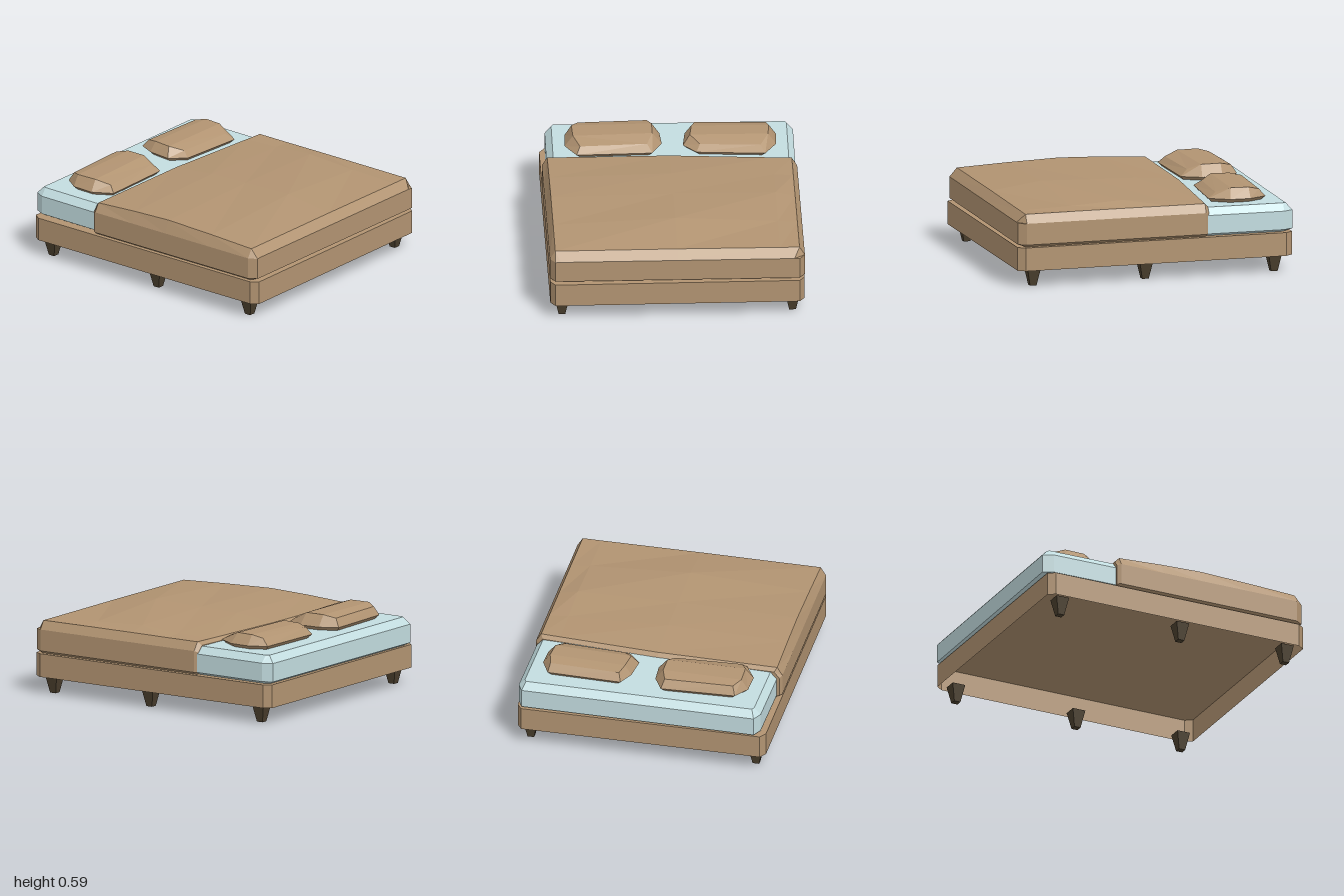
import * as THREE from 'three';

// Double-sided because the base is a shell open at the bottom
const brown = new THREE.MeshStandardMaterial({ color: 0xb29472, side: THREE.DoubleSide });
brown.name = 'brown fabric';
const blue = new THREE.MeshStandardMaterial({ color: 0xc3dde0 });
blue.name = 'pale blue sheet';
const dark = new THREE.MeshStandardMaterial({ color: 0x4c402e });
dark.name = 'dark wood';

// Faceted solid through rings of equal length (anticlockwise seen from the last ring)
function loft(rings, openStart = false) {
  const pos = [];
  const quad = (a, b, c, d) => pos.push(...a, ...b, ...c, ...a, ...c, ...d);
  const n = rings[0].length;
  for (let k = 0; k + 1 < rings.length; k++) {
    for (let i = 0; i < n; i++) {
      const j = (i + 1) % n;
      quad(rings[k][i], rings[k][j], rings[k + 1][j], rings[k + 1][i]);
    }
  }
  const cap = (r) => {
    for (let i = 0; i < n / 2 - 1; i++) quad(r[i], r[i + 1], r[n - 2 - i], r[n - 1 - i]);
  };
  cap(rings[rings.length - 1]);
  if (!openStart) cap([...rings[0]].reverse());
  const g = new THREE.BufferGeometry();
  g.setAttribute('position', new THREE.Float32BufferAttribute(pos, 3));
  g.computeVertexNormals();
  return g;
}

// Corners [frontRight, backRight, backLeft, frontLeft], moved inwards and cut off
function cutRing(corners, y, inset, cx, cz) {
  const ring = [];
  corners.forEach(([x, z], i) => {
    const px = x - Math.sign(x) * inset, pz = z - Math.sign(z) * inset;
    const onX = [px - Math.sign(x) * cx, y, pz];
    const onZ = [px, y, pz - Math.sign(z) * cz];
    ring.push(...(i % 2 === 0 ? [onX, onZ] : [onZ, onX]));
  });
  return ring;
}

function part(parent, name, geometry, material) {
  const m = new THREE.Mesh(geometry, material);
  m.name = name;
  parent.add(m);
  return m;
}

// Cross-section of the blanket; zAt gives the depth for each x, as its ends run askew
function blanketRow(zAt, w, low, side, hR, hIn, hM, hL) {
  const b = 0.31 - low;
  const section = [
    [w - b, low], [w, 0.3], [w, side], [w - 0.037, hR], [0.71, hIn],
    [0, hM], [-w + 0.037, hL], [-w, side], [-w, 0.3], [-w + b, low],
  ];
  return section.map(([x, y]) => [x, y, zAt(x)]);
}

// Pillow from a plan outline, starting at the front right
function pillow(outline, top, peak) {
  const cx = outline.reduce((s, p) => s + p[0], 0) / 8;
  const cz = outline.reduce((s, p) => s + p[1], 0) / 8;
  const base = outline.map(([x, z]) => [cx + (x - cx) * 0.9, 0.478, cz + (z - cz) * 0.86]);
  const drop = [0.035, 0, 0, 0.02, 0.02, 0.004, 0.004, 0.035];
  return loft([
    base,
    outline.map(([x, z]) => [x, 0.507, z]),
    top.map(([x, z], i) => [x, peak - drop[i], z]),
  ]);
}

export function createModel() {
  const bed = new THREE.Group();
  bed.name = 'bed';

  // Base: a shell with clipped corners, closed on top only
  const baseCorners = [[0.88, 1], [0.88, -0.98], [-0.88, -0.98], [-0.88, 1]];
  part(bed, 'base', loft([0.115, 0.279].map((y) => cutRing(baseCorners, y, 0, 0.035, 0.05)), true), brown);

  // Six tapered legs
  const legs = new THREE.Group();
  legs.name = 'legs';
  const legGeometry = new THREE.CylinderGeometry(0.068, 0.033, 0.125, 4).rotateY(Math.PI / 4).toNonIndexed();
  legGeometry.computeVertexNormals();
  for (const x of [-0.798, 0.798]) {
    for (const z of [0.88, 0.07, -0.86]) part(legs, 'leg', legGeometry, dark).position.set(x, 0.0625, z);
  }
  bed.add(legs);

  // Mattress, slightly askew on the base
  const mattress = [[0.86, 0.95], [0.876, -0.985], [-0.842, -0.998], [-0.86, 0.95]];
  part(bed, 'mattress', loft([
    cutRing(mattress, 0.281, 0.035, 0.03, 0.05),
    cutRing(mattress, 0.3, 0, 0.035, 0.07),
    cutRing(mattress, 0.43, 0, 0.035, 0.07),
    cutRing(mattress, 0.48, 0.045, 0.012, 0.02),
  ]), blue);

  // Blanket, back to front, with a soft hump on top
  const back = (z) => (x) => z + (x > 0 ? 0.01 + 0.074 * x : 0.01 + 0.011 * x);
  const slanted = (z, slope) => (x) => z + slope * x;
  part(bed, 'blanket', loft([
    blanketRow(back(-0.45), 0.865, 0.29, 0.44, 0.485, 0.485, 0.485, 0.485),
    blanketRow(back(-0.425), 0.882, 0.281, 0.45, 0.51, 0.51, 0.512, 0.51),
    blanketRow(slanted(-0.1, 0), 0.882, 0.281, 0.45, 0.51, 0.519, 0.543, 0.528),
    blanketRow(slanted(0.2, 0), 0.882, 0.281, 0.45, 0.511, 0.542, 0.55, 0.538),
    blanketRow(slanted(0.58, 0), 0.882, 0.281, 0.45, 0.511, 0.522, 0.562, 0.526),
    blanketRow(slanted(0.938, 0.006), 0.882, 0.281, 0.45, 0.51, 0.51, 0.512, 0.51),
    blanketRow(slanted(0.992, 0.006), 0.845, 0.299, 0.448, 0.45, 0.45, 0.45, 0.45),
  ]), brown);

  // Pillows
  part(bed, 'rightPillow', pillow(
    [[-0.115, -0.465], [-0.045, -0.6], [-0.055, -0.75], [-0.12, -0.872],
      [-0.64, -0.853], [-0.712, -0.75], [-0.717, -0.59], [-0.64, -0.455]],
    [[-0.15, -0.52], [-0.11, -0.61], [-0.11, -0.75], [-0.14, -0.835],
      [-0.62, -0.82], [-0.665, -0.75], [-0.66, -0.6], [-0.615, -0.5]], 0.586), brown);
  part(bed, 'leftPillow', pillow(
    [[0.665, -0.43], [0.745, -0.565], [0.75, -0.71], [0.69, -0.835],
      [0.17, -0.85], [0.118, -0.74], [0.1, -0.57], [0.19, -0.465]],
    [[0.635, -0.49], [0.69, -0.585], [0.7, -0.71], [0.68, -0.79],
      [0.19, -0.81], [0.165, -0.73], [0.15, -0.6], [0.215, -0.515]], 0.578), brown);

  return bed;
}
